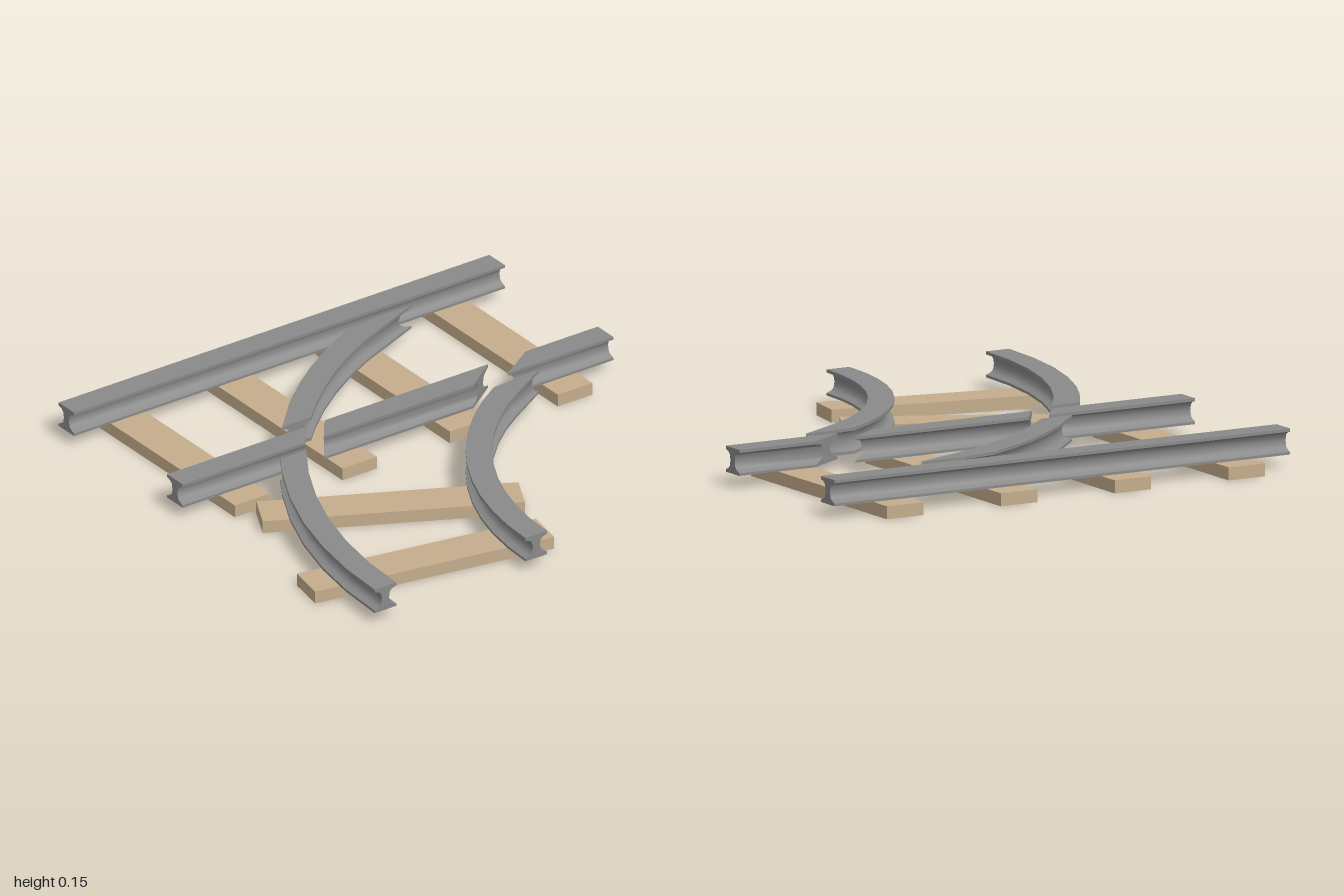
import * as THREE from 'three';
import { toCreasedNormals } from 'three/addons/utils/BufferGeometryUtils.js';

const steel = new THREE.MeshStandardMaterial({ color: 0x8a8a8a, side: THREE.DoubleSide });
const wood = new THREE.MeshStandardMaterial({ color: 0xc4ad8c, side: THREE.DoubleSide });

// Right half of the rail profile: offset from the middle (in rail widths), height
const half = [
  [0.5, 0.05], [0.5, 0.06], [0.3, 0.068], [0.2, 0.078], [0.16, 0.1],
  [0.2, 0.122], [0.3, 0.132], [0.5, 0.138], [0.5, 0.15],
];
const profile = [...half, ...half.map(([t, y]) => [-t, y]).reverse()]
  .map(([t, y]) => new THREE.Vector2(t + 0.5, y));

// Sweeps the profile through sections, each given by its left and right edge in x, z
function railGeometry(sections) {
  const n = profile.length;
  const positions = [];
  const index = [];
  for (const [a, b] of sections) {
    for (const p of profile) {
      positions.push(a[0] + (b[0] - a[0]) * p.x, p.y, a[1] + (b[1] - a[1]) * p.x);
    }
  }
  for (let i = 0; i < sections.length - 1; i++) {
    for (let j = 0; j < n; j++) {
      const k = (j + 1) % n;
      const a = i * n + j, b = i * n + k;
      index.push(a, a + n, b, b, a + n, b + n);
    }
  }
  // End caps
  const last = (sections.length - 1) * n;
  for (const [a, b, c] of THREE.ShapeUtils.triangulateShape(profile, [])) {
    index.push(a, b, c, last + a, last + c, last + b);
  }
  const geometry = new THREE.BufferGeometry();
  geometry.setAttribute('position', new THREE.Float32BufferAttribute(positions, 3));
  geometry.setIndex(index);
  return toCreasedNormals(geometry, 0.75);
}

// Both curves turn around the point x = 1, z = 1
const onArc = (r, angle) => [1 - r * Math.cos(angle), 1 - r * Math.sin(angle)];
const arcSection = (r, degrees) => {
  const a = THREE.MathUtils.degToRad(degrees);
  return [onArc(r + 0.05, a), onArc(r - 0.05, a)];
};
// Section where the arc is cut off along a line of constant z
const cutSection = (r, z) =>
  [r + 0.05, r - 0.05].map((s) => onArc(s, Math.asin((1 - z) / s)));

function arcSections(r, from, to, steps) {
  return Array.from({ length: steps + 1 }, (_, i) => arcSection(r, from + (to - from) * i / steps));
}

// Tie with an open underside
function sleeper(name, x, z, angle) {
  const geometry = new THREE.BoxGeometry(1, 0.05, 0.16);
  const faces = Array.from(geometry.index.array);
  faces.splice(18, 6);
  geometry.setIndex(faces);
  geometry.clearGroups();
  const mesh = new THREE.Mesh(geometry, wood);
  mesh.name = name;
  mesh.position.set(x, 0.025, z);
  mesh.rotation.y = -angle;
  return mesh;
}

export function createModel() {
  const model = new THREE.Group();
  model.name = 'railSwitch';

  const rails = {
    // Straight track; the near rail has slanted gaps for the crossing wheels
    farRail: [[[-1, -0.9], [-1, -0.8]], [[1, -0.9], [1, -0.8]]],
    nearRailRight: [[[-1, -0.2], [-1, -0.1]], [[-0.36, -0.2], [-0.43, -0.1]]],
    nearRailMiddle: [[[-0.27, -0.2], [-0.345, -0.1]], [[0.49, -0.2], [0.35, -0.1]]],
    nearRailLeft: [[[0.665, -0.2], [0.51, -0.1]], [[1, -0.2], [1, -0.1]]],
    // Branch track
    outerCurveRail: [...arcSections(1.85, 0, 30, 5), cutSection(1.85, -0.05)],
    outerCurveBlade: [
      cutSection(1.85, -0.25), ...arcSections(1.85, 47, 65, 4),
      [[0.36, -0.75], [0.53, -0.75]],
    ],
    innerCurveRail: [
      ...arcSections(1.15, 0, 60, 10),
      [[0.527, -0.05], [0.617, -0.05]],
    ],
  };
  for (const [name, sections] of Object.entries(rails)) {
    const mesh = new THREE.Mesh(railGeometry(sections), steel);
    mesh.name = name;
    model.add(mesh);
  }

  // Sleepers across the straight track
  for (const x of [-0.75, -0.25, 0.25, 0.75]) {
    model.add(sleeper('straightSleeper', x, -0.5, Math.PI / 2));
  }
  // Sleepers fanned along the branch
  for (const degrees of [10, 27]) {
    const a = THREE.MathUtils.degToRad(degrees);
    const [x, z] = onArc(1.5, a);
    model.add(sleeper('branchSleeper', x, z, a));
  }
  return model;
}
